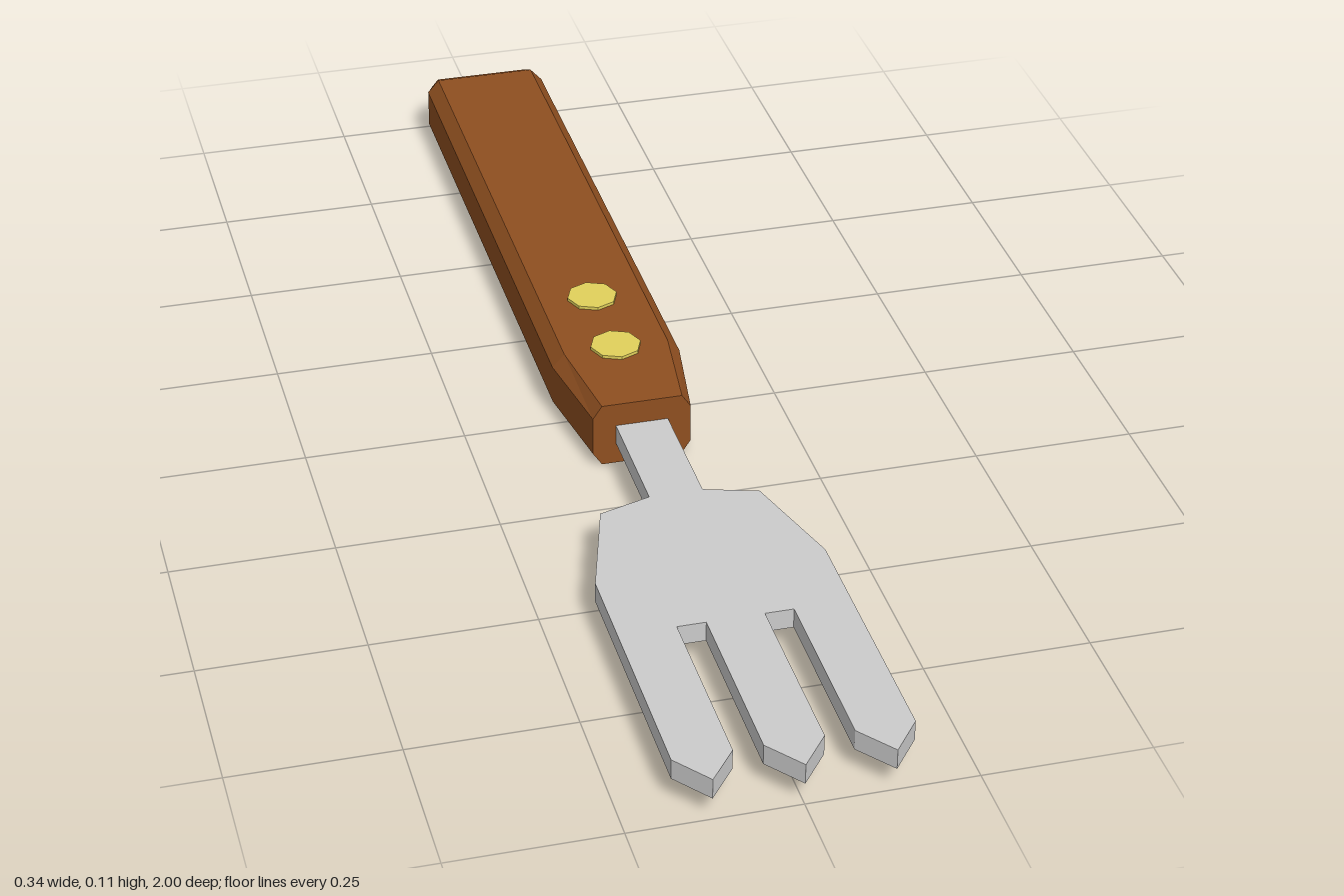
import * as THREE from 'three';

const material = (color) => new THREE.MeshStandardMaterial({ color, flatShading: true });

function addPart(group, name, geometry, mat) {
  const mesh = new THREE.Mesh(geometry, mat);
  mesh.name = name;
  group.add(mesh);
  return mesh;
}

// Chamfered rectangle, counter-clockwise seen from +z
function ring({ z, w, top, y0, y1, cut }) {
  return [
    [w, y0 + cut], [w, y1 - cut], [top, y1], [-top, y1],
    [-w, y1 - cut], [-w, y0 + cut], [-top, y0], [top, y0],
  ].map(([x, y]) => [x, y, z]);
}

// Flat-faced loft through rings ordered from back to front, capped at both ends
function loft(rings) {
  const pos = [];
  const tri = (a, b, c) => pos.push(...a, ...b, ...c);
  const n = rings[0].length;
  for (let i = 0; i < rings.length - 1; i++) {
    for (let j = 0; j < n; j++) {
      const k = (j + 1) % n;
      const a = rings[i], b = rings[i + 1];
      tri(a[j], a[k], b[k]);
      tri(a[j], b[k], b[j]);
    }
  }
  const back = rings[0], front = rings[rings.length - 1];
  for (let j = 1; j < n - 1; j++) {
    tri(back[0], back[j + 1], back[j]);
    tri(front[0], front[j], front[j + 1]);
  }
  const geometry = new THREE.BufferGeometry();
  geometry.setAttribute('position', new THREE.Float32BufferAttribute(pos, 3));
  geometry.computeVertexNormals();
  return geometry;
}

export function createModel() {
  const model = new THREE.Group();
  model.name = 'handFork';
  const steel = material(0xcccccc);
  const wood = material(0x8f4f20);
  const brass = material(0xe1d15b);

  // Wooden handle: bevelled butt, straight grip, tapered front
  addPart(model, 'handle', loft([
    { z: -1, w: 0.088, top: 0.078, y0: 0.014, y1: 0.091, cut: 0.012 },
    { z: -0.97, w: 0.102, top: 0.083, y0: 0, y1: 0.105, cut: 0.021 },
    { z: -0.03, w: 0.102, top: 0.083, y0: 0, y1: 0.105, cut: 0.021 },
    { z: 0.13, w: 0.077, top: 0.063, y0: 0, y1: 0.105, cut: 0.021 },
  ].map(ring)), wood);

  // Flat fork head: half outline as (x, z), mirrored about the centre tine
  const half = [
    [0.041, 0.05], [0.041, 0.33], [0.122, 0.355], [0.172, 0.525],
    [0.172, 0.945], [0.129, 1], [0.086, 0.945], [0.086, 0.655],
    [0.043, 0.655], [0.043, 0.945],
  ];
  const mirrored = half.map(([x, z]) => [-x, z]).reverse();
  const outline = [...half, [0, 1], ...mirrored].map(([x, z]) => new THREE.Vector2(x, z));
  const head = new THREE.ExtrudeGeometry(new THREE.Shape(outline), { depth: 0.032, bevelEnabled: false });
  head.rotateX(Math.PI / 2).translate(0, 0.067, 0);
  addPart(model, 'forkHead', head, steel);

  // Two rivets standing just proud of the handle
  [-0.185, -0.033].forEach((z, i) => {
    const rivet = addPart(model, `rivet${i + 1}`, new THREE.CylinderGeometry(0.04, 0.04, 0.03, 8), brass);
    rivet.position.set(0, 0.095, z);
  });

  return model;
}
